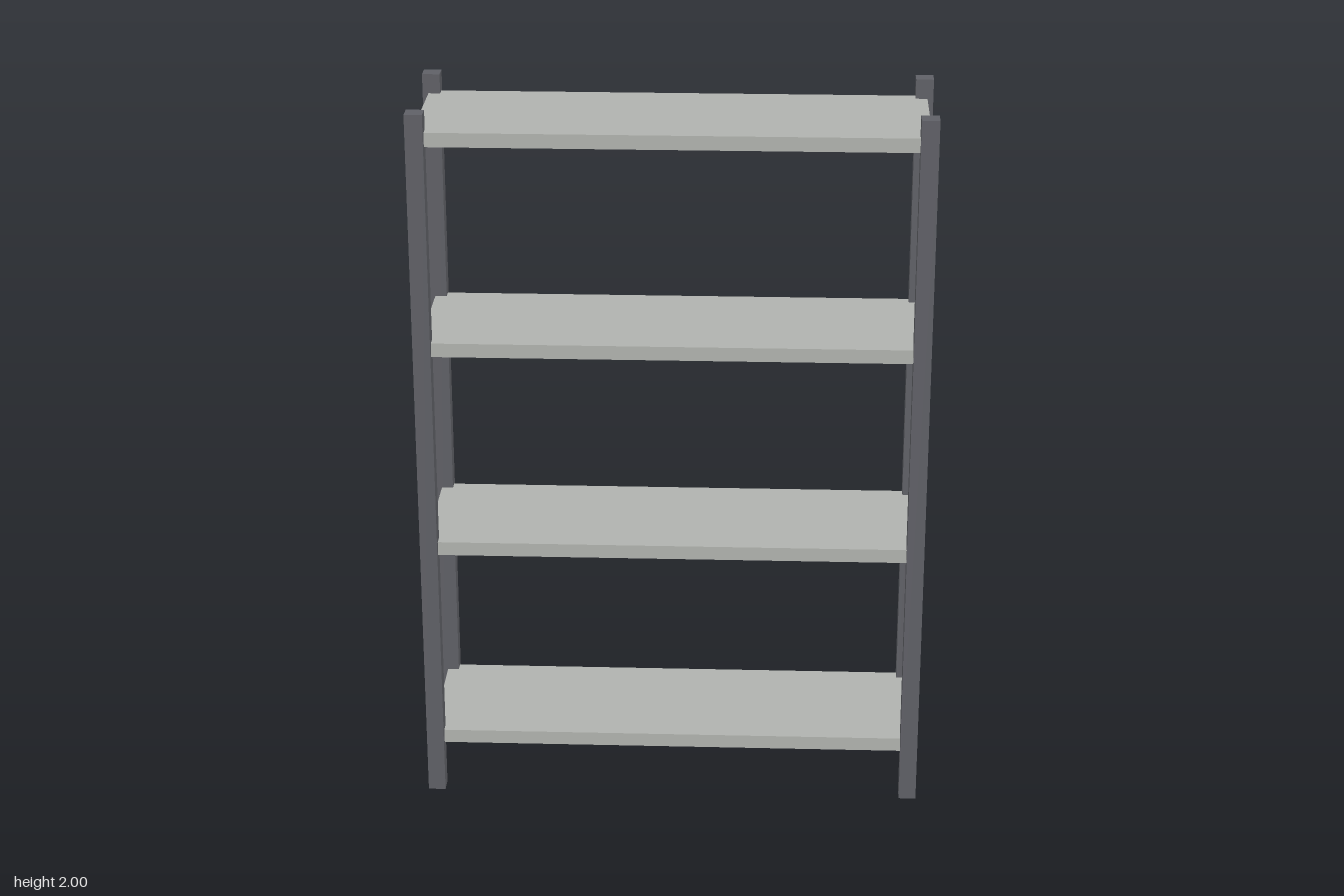
import * as THREE from 'three';

export function createModel() {
  const model = new THREE.Group();
  model.name = 'shelvingUnit';
  const postMaterial = new THREE.MeshStandardMaterial({ color: 0x5f6066 });
  const shelfMaterial = new THREE.MeshStandardMaterial({ color: 0xb0b2ae });

  // Four square corner posts
  const postGeometry = new THREE.BoxGeometry(0.048, 2, 0.048);
  for (const [zName, z] of [['front', 0.197], ['back', -0.197]]) {
    for (const [xName, x] of [['Left', 0.672], ['Right', -0.672]]) {
      const post = new THREE.Mesh(postGeometry, postMaterial);
      post.name = `${zName}${xName}Post`;
      post.position.set(x, 1, z);
      model.add(post);
    }
  }

  // Four evenly spaced shelves
  const shelfGeometry = new THREE.BoxGeometry(1.36, 0.039, 0.406);
  for (let i = 0; i < 4; i++) {
    const shelf = new THREE.Mesh(shelfGeometry, shelfMaterial);
    shelf.name = `shelf${i + 1}`;
    shelf.position.y = 0.163 + i * 0.588;
    model.add(shelf);
  }
  return model;
}
